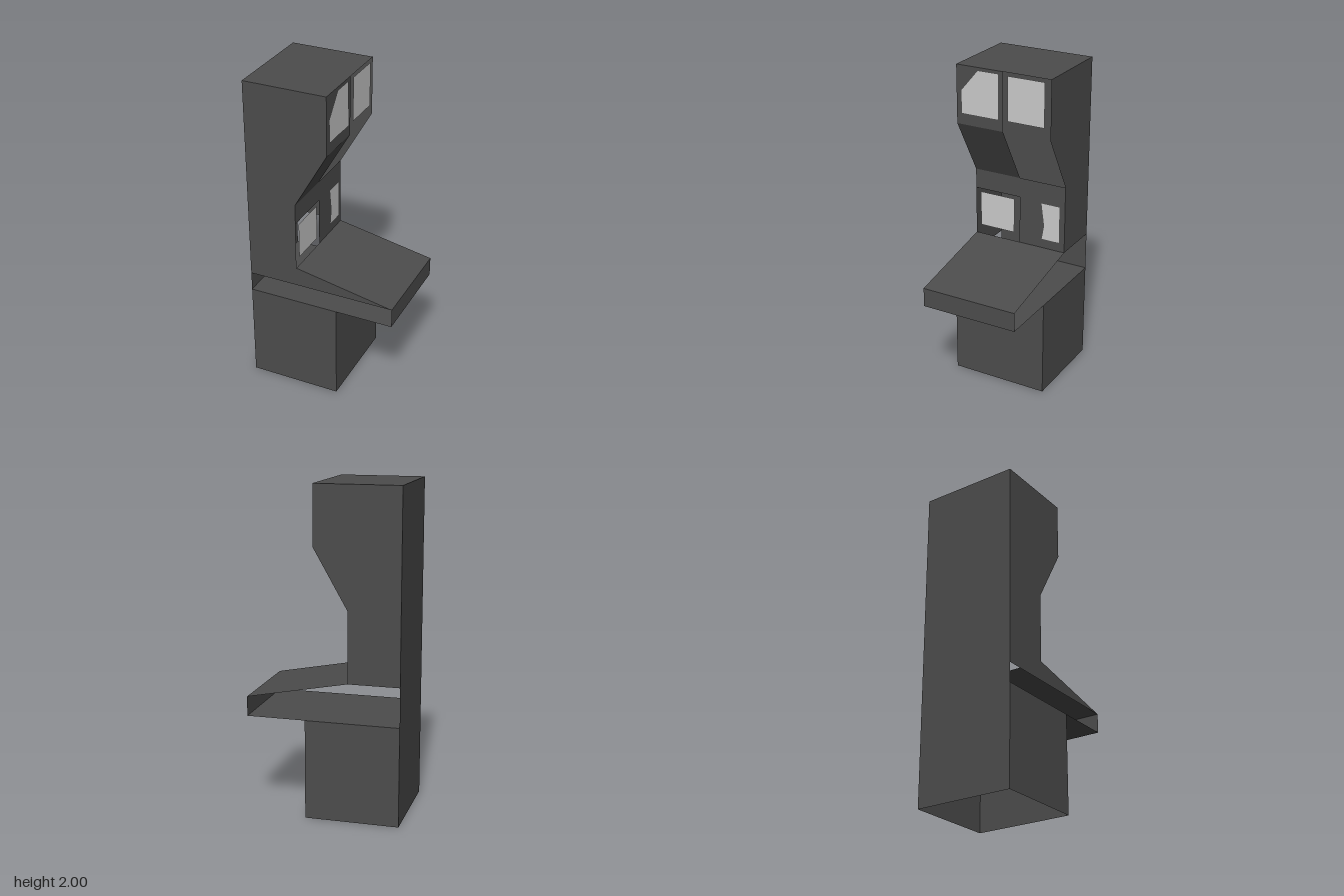
import * as THREE from 'three';

const HALF = 0.309; // half the cabinet width
const BACK = -0.465, HEAD = 0.053, NECK = -0.153, BASE = 0.107, LIP = 0.465; // depths

export function createModel() {
  const body = new THREE.MeshStandardMaterial({ color: 0x4c4c4c, side: THREE.DoubleSide });
  body.name = 'charcoal';
  const screen = new THREE.MeshStandardMaterial({ color: 0xcacaca, side: THREE.DoubleSide });
  screen.name = 'pale grey';

  const model = new THREE.Group();
  model.name = 'arcadeCabinet';

  function add(name, geometry, material) {
    const mesh = new THREE.Mesh(geometry, material);
    mesh.name = name;
    model.add(mesh);
    return mesh;
  }
  const outline = (pts) =>
    new THREE.ShapeGeometry(new THREE.Shape(pts.map(([a, b]) => new THREE.Vector2(a, b))));

  // Sheet spanning x0..x1, running from (z0, y0) to (z1, y1)
  function sheet(name, x0, x1, [z0, y0], [z1, y1]) {
    const g = new THREE.PlaneGeometry(x1 - x0, Math.hypot(z1 - z0, y1 - y0));
    g.rotateX(Math.atan2(z1 - z0, y1 - y0));
    g.translate((x0 + x1) / 2, (y0 + y1) / 2, (z0 + z1) / 2);
    add(name, g, body);
  }
  // Side wall from a [z, y] outline
  function wall(name, x, pts) {
    const g = outline(pts);
    g.rotateY(-Math.PI / 2);
    add(name, g, body).position.x = x;
  }
  // Flat screen on the front from an [x, y] outline, x measured from one side
  function display(name, z, pts) {
    add(name, outline(pts.map(([t, y]) => [t - HALF, y])), screen).position.z = z + 0.003;
  }

  // Shell across the full width
  sheet('backPanel', -HALF, HALF, [BACK, 2], [BACK, 0]);
  sheet('topPanel', -HALF, HALF, [HEAD, 2], [BACK, 2]);
  sheet('basePanel', -HALF, HALF, [BASE, 0], [BASE, 0.61]);
  sheet('shelfFloor', -HALF, HALF, [BACK, 0.61], [LIP, 0.61]);
  sheet('shelfLip', -HALF, HALF, [LIP, 0.61], [LIP, 0.73]);
  sheet('controlDeck', -HALF, HALF, [LIP, 0.73], [NECK, 0.85]);

  // Front panels, with open bays at the head and beside the lower screen
  sheet('headPanel', -HALF, 0, [HEAD, 1.64], [HEAD, 2]);
  sheet('slopedPanel', -HALF, 0, [NECK, 1.28], [HEAD, 1.64]);
  sheet('neckPanel', -HALF, 0, [NECK, 1.155], [NECK, 1.28]);
  sheet('neckPanel', 0, HALF, [NECK, 0.85], [NECK, 1.28]);

  // Side walls; one runs down to the deck wedge, the other stops higher
  const upper = [[NECK, 0.85], [NECK, 1.28], [HEAD, 1.64], [HEAD, 2], [BACK, 2]];
  wall('upperSide', -HALF, [[BACK, 0.73], [LIP, 0.73], ...upper]);
  wall('upperSide', HALF, [[BACK, 0.85], ...upper]);
  for (const x of [-HALF, HALF])
    wall('baseSide', x, [[BACK, 0], [BASE, 0], [BASE, 0.61], [BACK, 0.61]]);

  // Screens
  display('upperScreen', HEAD, [[0.035, 1.71], [0.278, 1.71], [0.278, 1.98], [0.145, 1.98], [0.035, 1.85]]);
  display('upperScreen', HEAD, [[0.342, 1.71], [0.58, 1.71], [0.58, 1.98], [0.342, 1.98]]);
  display('lowerScreen', NECK, [[0.035, 0.91], [0.272, 0.91], [0.272, 1.135], [0.035, 1.135]]);
  display('lowerScreen', NECK, [[0.465, 0.91], [0.582, 0.91], [0.582, 1.145], [0.46, 1.145], [0.48, 1.0]]);

  // The cabinet stands turned on its spot
  model.rotation.y = Math.PI / 3;
  const group = new THREE.Group();
  group.name = 'cabinet';
  group.add(model);
  return group;
}
